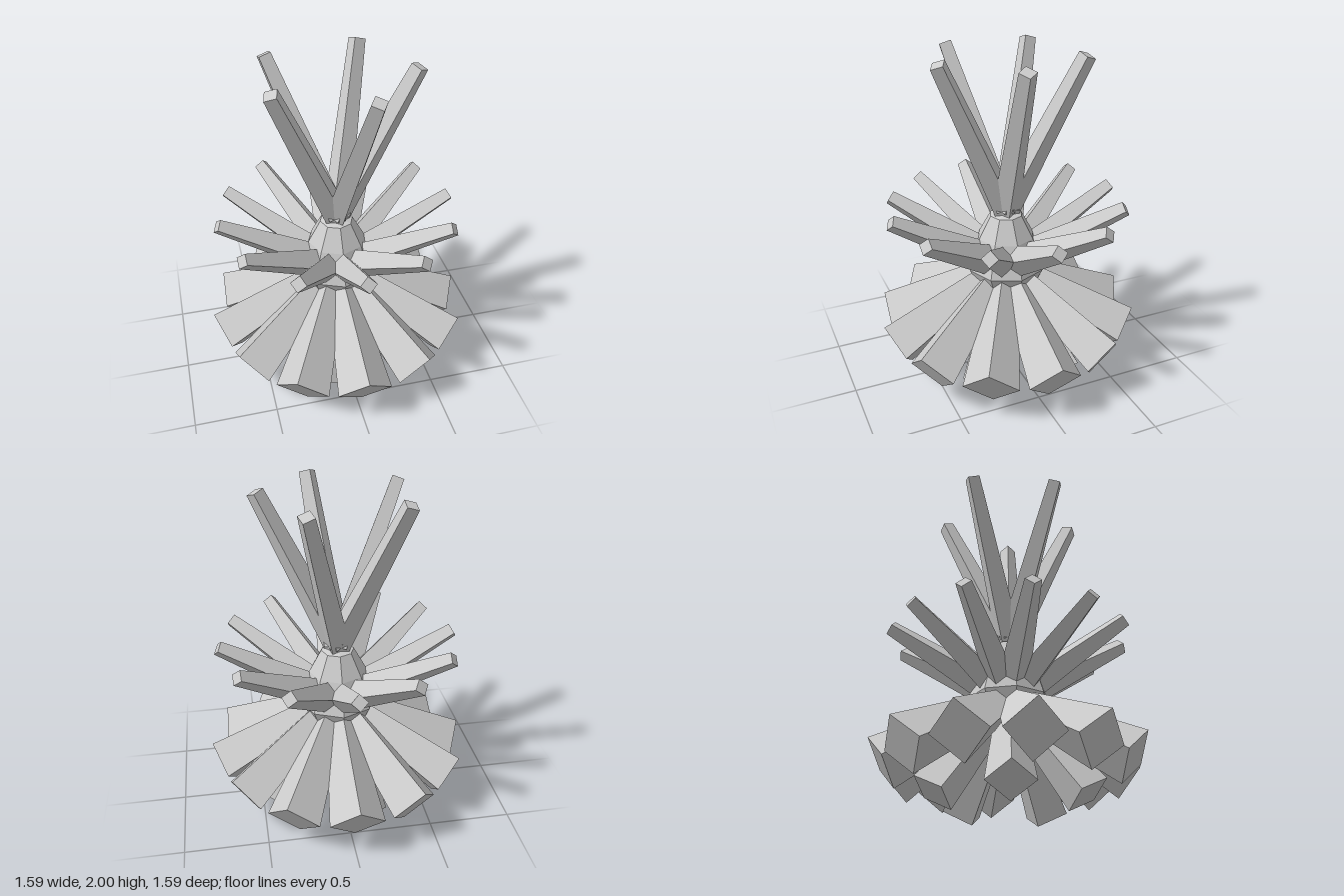
import * as THREE from 'three';

const material = new THREE.MeshStandardMaterial({ color: 0xcccccc, flatShading: true });

// Four-sided tapered spike from (0, y0, 0) to a tip at the given radius, height and azimuth.
// One ridge of the spike always faces straight up.
function spike(name, y0, radius, tipY, azimuth, rBase, rTip) {
  const rise = tipY - y0;
  const length = Math.hypot(radius, rise);
  const geometry = new THREE.CylinderGeometry(rTip, rBase, length, 4);
  geometry.translate(0, length / 2, 0);
  geometry.rotateX(Math.atan2(radius, rise));
  geometry.rotateY(azimuth);
  const mesh = new THREE.Mesh(geometry, material);
  mesh.position.y = y0;
  mesh.name = name;
  return mesh;
}

export function createModel() {
  const model = new THREE.Group();
  model.name = 'crystalBurst';

  // Faceted core the spikes grow from
  const profile = [[0, 0.42], [0.16, 0.5], [0.24, 0.67], [0.175, 0.87], [0.1, 1.01], [0, 1.04]];
  const core = new THREE.Mesh(
    new THREE.LatheGeometry(profile.map(([r, y]) => new THREE.Vector2(r, y)), 8), material);
  core.name = 'core';
  model.add(core);

  // Two rings of twelve: slim spikes rising, thick blocks falling
  for (let i = 0; i < 12; i++) {
    const azimuth = (i * Math.PI) / 6;
    model.add(spike('middleSpike', 0.67, 0.71, 1.08, azimuth, 0.105, 0.047));
    model.add(spike('lowerBlock', 0.67, 0.712, 0.26, azimuth, 0.075, 0.162));
  }

  // Five tall spikes above, five stubby blocks below on the opposite sides
  const tips = [[0.44, 0.07], [0.11, 0.43], [-0.385, 0.215], [-0.34, -0.29], [0.22, -0.39]];
  for (const [x, z] of tips) {
    const azimuth = Math.atan2(x, z);
    model.add(spike('topSpike', 1.04, 0.445, 1.978, azimuth, 0.085, 0.05));
    model.add(spike('bottomBlock', 0.67, 0.445, 0.08, azimuth + Math.PI, 0.07, 0.135));
  }
  return model;
}
